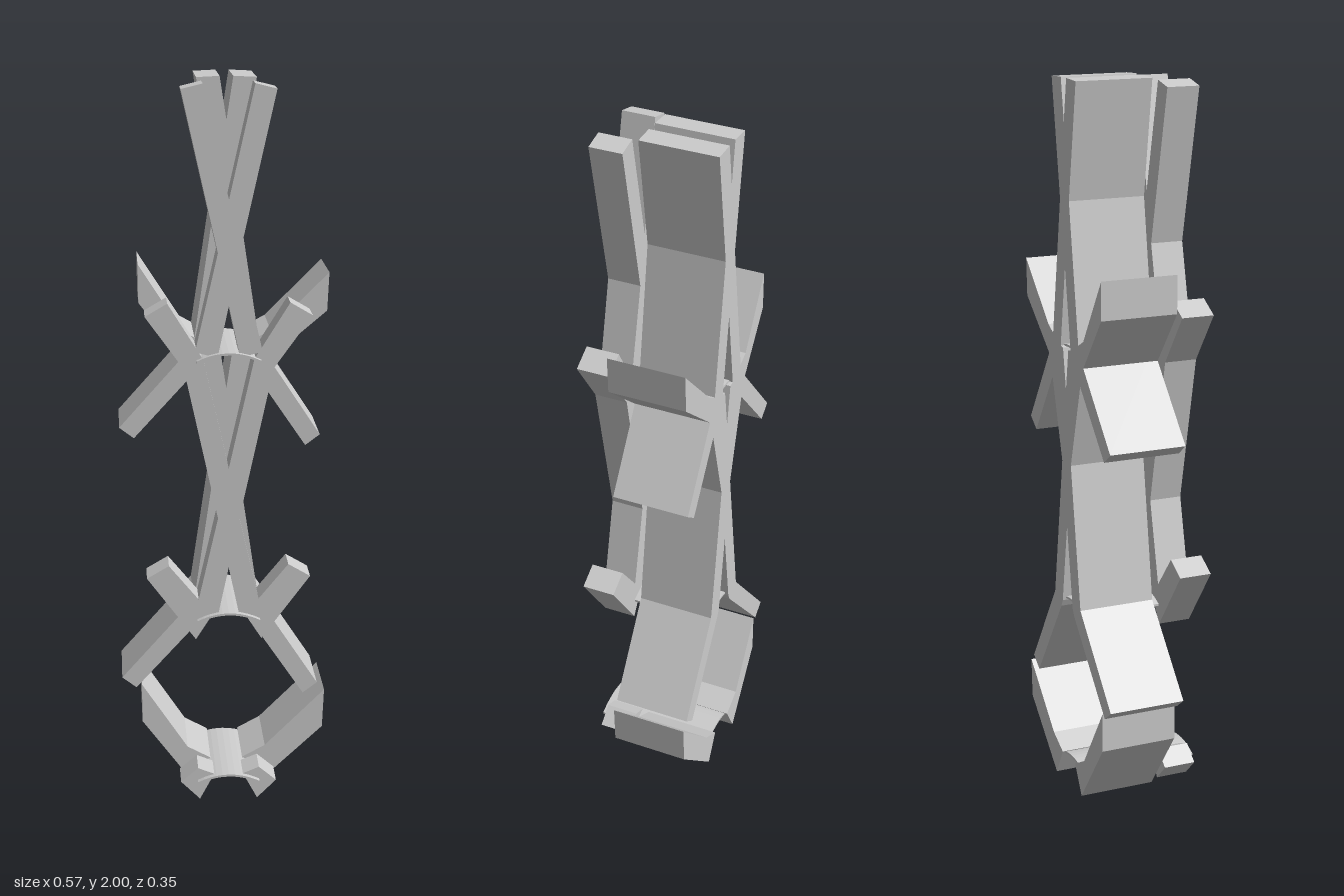
import * as THREE from 'three';

const AXIS = 0.012; // the lattice is centred slightly off x = 0
const PITCH = 0.725; // vertical distance between crossings

// [halfX, y, lean]: lean shifts the flared tips for the slight tilt of the piece
function place([x, y, lean = 0], s) {
  return new THREE.Vector2(AXIS + s * x + lean, y - (lean ? s * 0.013 : 0));
}

function slab(points, z0, z1) {
  const geo = new THREE.ExtrudeGeometry(new THREE.Shape(points), {
    depth: z1 - z0, bevelEnabled: false, curveSegments: 10,
  });
  geo.translate(0, 0, z0);
  return geo;
}

export function createModel() {
  const group = new THREE.Group();
  const material = new THREE.MeshStandardMaterial({ color: 0xcccccc, side: THREE.DoubleSide });
  const FRONT = [0.065, 0.158], BACK = [-0.175, 0.043];

  const add = (name, points, [z0, z1]) => {
    const mesh = new THREE.Mesh(slab(points, z0, z1), material);
    mesh.name = name;
    group.add(mesh);
  };
  // Closed outline from its right half, which starts and ends on the axis
  const addCross = (name, half, layer) => add(name, [
    ...half.map((p) => place(p, 1)),
    ...half.slice(1, -1).reverse().map((p) => place(p, -1)),
  ], layer);
  const addPair = (name, half, layer) => {
    for (const s of [1, -1]) add(name + (s > 0 ? 'Left' : 'Right'), half.map((p) => place(p, s)), layer);
  };
  const lower = (pts) => pts.map(([x, y, lean]) => [x, y - PITCH, lean]);

  // Front layer: lower halves of the crossed strips, shared by both levels
  const frontFoot = [[0.029, 1.55], [0.09, 1.285], [0.03, 1.27], [0, 1.41]];
  const arm = [[0.163, 1.417], [0.223, 1.382]];
  addCross('upperFrontCross', [[0, 1.69], [0.068, 1.99], [0.125, 1.976], ...frontFoot], FRONT);
  addCross('lowerFrontCross',
    [[0, 0.965], [0.068, 1.265], ...arm, [0.12, 1.24], ...lower(frontFoot)], FRONT);
  addPair('lowerFrontArm', [[0.045, 0.55], ...lower(arm), [0.09, 0.48]], FRONT);
  addPair('bottomStub', [[0.04, 0.08], [0.085, 0.098], [0.133, 0.058], [0.08, 0.006]], FRONT);

  // Back layer: crossed strips that spread into legs below and wings above
  const backFoot = [
    [0.03, 1.68], [0.09, 1.28], [0.275, 1.04, -0.018], [0.235, 1.01, -0.018],
    [0.045, 1.25], [0.035, 1.27], [0, 1.5],
  ];
  addCross('upperBackCross', [[0, 1.885], [0.018, 2], [0.08, 1.997], ...backFoot], BACK);
  addCross('lowerBackCross', [
    [0, 1.16], [0.018, 1.275], [0.045, 1.28], [0.12, 1.32], [0.258, 1.49, 0.02],
    [0.255, 1.385, 0.018], [0.11, 1.235], ...lower(backFoot),
  ], BACK);
  addPair('bottomWing', [
    [0.045, 0.08], [0.11, 0.115], [0.258, 0.293, 0.02], [0.255, 0.182, 0.018], [0.09, 0],
  ], BACK);

  // Thin arched bridges running through both layers at each joint
  for (const y of [0.075, 0.55, 1.276]) {
    const curve = new THREE.QuadraticBezierCurve(
      new THREE.Vector2(AXIS - 0.086, y - 0.012),
      new THREE.Vector2(AXIS, y + 0.03),
      new THREE.Vector2(AXIS + 0.086, y - 0.012),
    ).getPoints(10);
    const under = curve.map((p) => new THREE.Vector2(p.x, p.y - 0.006)).reverse();
    add('archedBridge', [...curve, ...under], [-0.165, 0.175]);
  }
  return group;
}
